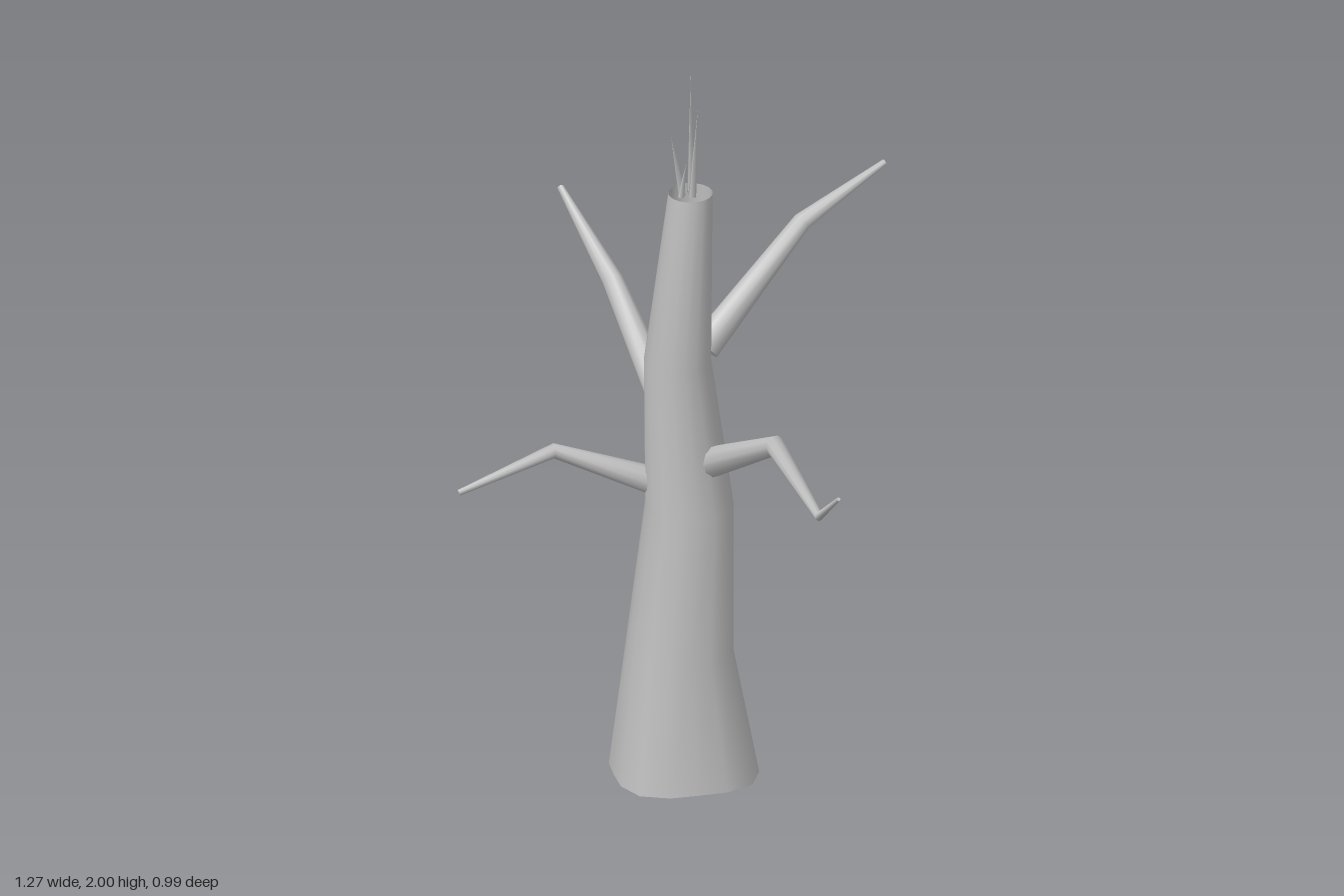
import * as THREE from 'three';

const bark = new THREE.MeshStandardMaterial({ color: 0xbebebe, side: THREE.DoubleSide });
bark.name = 'grey bark';

const v3 = (p) => new THREE.Vector3(p[0], p[1], p[2]);

// Joins equal rings of points into a smooth skin, with optional flat end caps
function loft(rings, capped) {
  const n = rings[0].length;
  const points = rings.flat();
  const index = [];
  for (let j = 0; j < rings.length - 1; j++) {
    for (let i = 0; i < n; i++) {
      const a = j * n + i, b = j * n + (i + 1) % n;
      index.push(a, a + n, b, b, a + n, b + n);
    }
  }
  if (capped) {
    const first = points.length;
    points.push(...rings[0], ...rings[rings.length - 1]);
    for (let i = 1; i < n - 1; i++) {
      index.push(first, first + i, first + i + 1);
      index.push(first + n, first + n + i + 1, first + n + i);
    }
  }
  const geometry = new THREE.BufferGeometry().setFromPoints(points);
  geometry.setIndex(index);
  geometry.computeVertexNormals();
  return geometry;
}

// Hollow leaning trunk: each level is [x, y, z, radius, lobe depth]
function trunkGeometry() {
  const levels = [
    [-0.1, 0.008, 0.07, 0.21, 0.12],
    [-0.107, 0.36, 0.08, 0.146, 0.06],
    [-0.088, 0.77, 0.063, 0.118, 0.03],
    [-0.107, 1.18, 0.09, 0.088, 0],
    [-0.075, 1.665, 0.078, 0.058, 0],
  ];
  const sides = 16;
  return loft(levels.map(([x, y, z, r, lobe], j) => {
    const ring = [];
    for (let i = 0; i < sides; i++) {
      const a = (i / sides) * Math.PI * 2;
      const radius = r * (1 - lobe * Math.sin(2 * a) ** 2);
      const ragged = j === 0 ? 0.007 * Math.cos(a - 0.4) : 0;
      ring.push(new THREE.Vector3(x + radius * Math.cos(a), y + ragged, z + radius * Math.sin(a)));
    }
    return ring;
  }), false);
}

// Tapering crooked limb: each stop is [x, y, z, radius]
function branchGeometry(stops) {
  const sides = 10;
  const centres = stops.map(v3);
  return loft(stops.map((stop, j) => {
    const before = centres[Math.max(j - 1, 0)], here = centres[j];
    const after = centres[Math.min(j + 1, centres.length - 1)];
    const d = new THREE.Vector3();
    if (j > 0) d.add(here.clone().sub(before).normalize());
    if (j < centres.length - 1) d.add(after.clone().sub(here).normalize());
    d.normalize();
    const u = new THREE.Vector3(0, 1, 0).cross(d).normalize();
    const v = u.clone().cross(d);
    const ring = [];
    for (let i = 0; i < sides; i++) {
      const a = (i / sides) * Math.PI * 2;
      ring.push(here.clone()
        .addScaledVector(u, stop[3] * Math.cos(a))
        .addScaledVector(v, stop[3] * Math.sin(a)));
    }
    return ring;
  }), true);
}

// Thin splinter from a base point to a sharp tip
function splinter(base, tip, radius) {
  const from = v3(base), axis = v3(tip).sub(from);
  const geometry = new THREE.ConeGeometry(radius, axis.length(), 4);
  geometry.translate(0, axis.length() / 2, 0);
  const mesh = new THREE.Mesh(geometry, bark);
  mesh.quaternion.setFromUnitVectors(new THREE.Vector3(0, 1, 0), axis.normalize());
  mesh.position.copy(from);
  mesh.name = 'splinter';
  return mesh;
}

export function createModel() {
  const tree = new THREE.Group();
  tree.name = 'deadTree';

  const trunk = new THREE.Mesh(trunkGeometry(), bark);
  trunk.name = 'trunk';
  tree.add(trunk);

  const branches = {
    frontLeftBranch: [[-0.02, 0.905, 0.075, 0.042], [0.265, 1.08, 0.2, 0.027],
      [0.52, 1.02, 0.385, 0.012], [0.63, 1.13, 0.462, 0.005]],
    frontRightBranch: [[-0.175, 0.835, 0.12, 0.036], [-0.355, 0.94, 0.295, 0.02],
      [-0.52, 0.855, 0.49, 0.008]],
    backRightBranch: [[-0.165, 1.05, 0.07, 0.042], [-0.395, 1.28, -0.045, 0.028],
      [-0.628, 1.44, -0.157, 0.009]],
    backLeftBranch: [[-0.07, 1.2, 0.02, 0.042], [0.045, 1.475, -0.265, 0.025],
      [0.153, 1.583, -0.49, 0.008]],
  };
  for (const [name, stops] of Object.entries(branches)) {
    const branch = new THREE.Mesh(branchGeometry(stops), bark);
    branch.name = name;
    tree.add(branch);
  }

  // Broken wood standing out of the snapped top
  const splinters = new THREE.Group();
  splinters.name = 'splinters';
  splinters.add(
    splinter([-0.09, 1.65, 0.052], [-0.095, 2.0, 0.045], 0.012),
    splinter([-0.078, 1.65, 0.065], [-0.066, 1.905, 0.055], 0.012),
    splinter([-0.103, 1.65, 0.075], [-0.125, 1.82, 0.093], 0.012),
    splinter([-0.1, 1.65, 0.085], [-0.088, 1.75, 0.075], 0.01),
  );
  tree.add(splinters);
  return tree;
}
